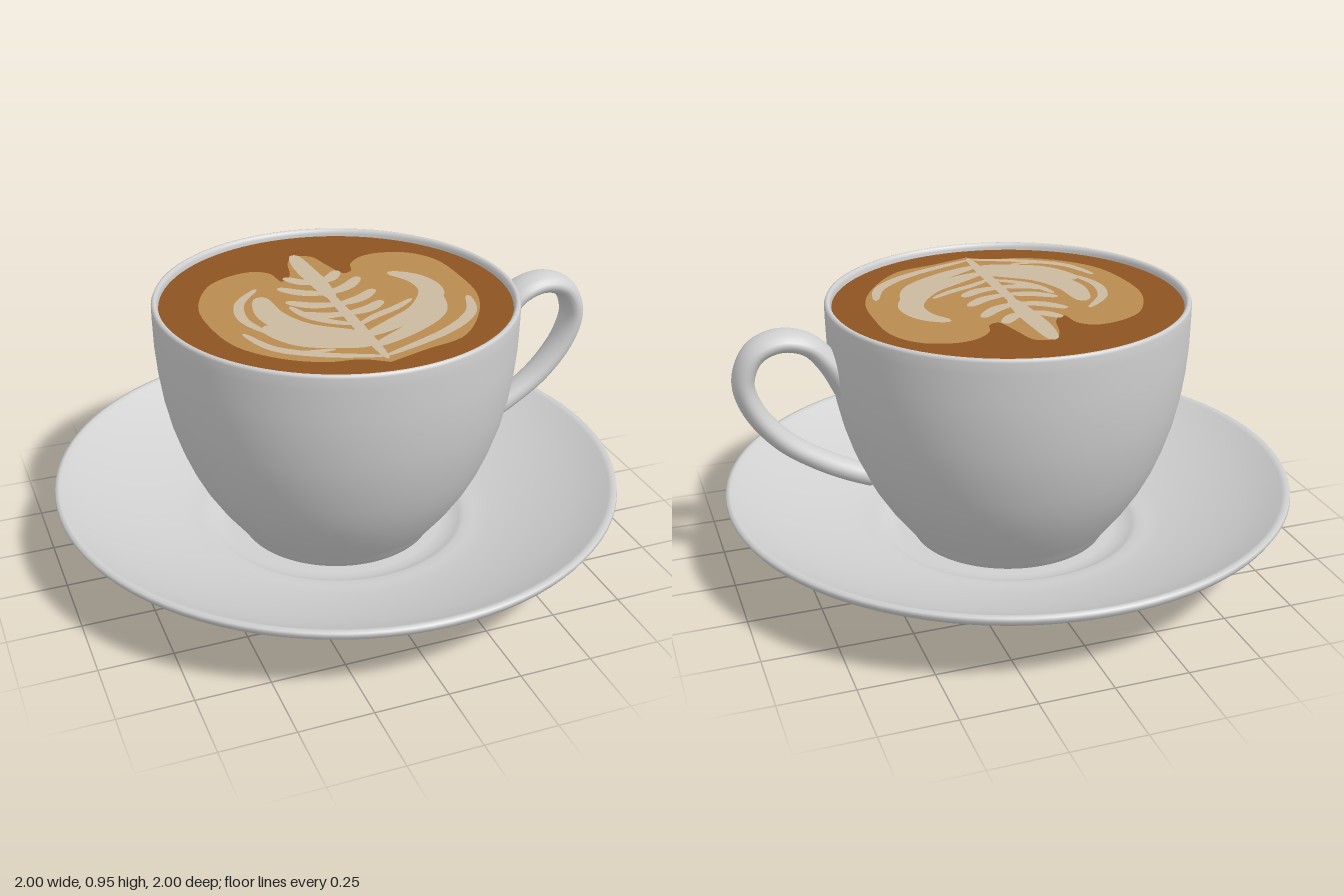
import * as THREE from 'three';

const mat = (name, color, side = THREE.FrontSide) => {
  const m = new THREE.MeshStandardMaterial({ color, side });
  m.name = name;
  return m;
};
const v2 = ([x, y]) => new THREE.Vector2(x, y);

// Solid of revolution with a smoothed profile
function lathe(name, profile, material) {
  const mesh = new THREE.Mesh(new THREE.LatheGeometry(profile.map(v2), 96), material);
  mesh.name = name;
  return mesh;
}

// Flat artwork lying on the coffee; shapes are drawn as (x, -z)
function flat(name, shapes, y, material) {
  const mesh = new THREE.Mesh(new THREE.ShapeGeometry(shapes).rotateX(-Math.PI / 2), material);
  mesh.position.y = y;
  mesh.name = name;
  return mesh;
}

// Tapered brush stroke of half-width w through [x, z] points
function stroke(w, pts) {
  const curve = new THREE.SplineCurve(pts.map(([x, z]) => new THREE.Vector2(x, -z)));
  const a = [], b = [], n = 24;
  for (let i = 0; i <= n; i++) {
    const t = i / n, p = curve.getPoint(t), d = curve.getTangent(t);
    const h = w * Math.max(0.15, Math.pow(Math.sin(Math.PI * t), 0.4));
    a.push(new THREE.Vector2(p.x - d.y * h, p.y + d.x * h));
    b.unshift(new THREE.Vector2(p.x + d.y * h, p.y - d.x * h));
  }
  return new THREE.Shape([...a, ...b]);
}

// Elliptical sections swept along a path in the xy plane
function handleGeometry() {
  const path = new THREE.CatmullRomCurve3([
    [0.57, 0.7], [0.635, 0.79], [0.7, 0.855], [0.79, 0.878], [0.875, 0.845], [0.917, 0.75],
    [0.89, 0.645], [0.8, 0.525], [0.68, 0.435], [0.58, 0.38], [0.5, 0.345],
  ].map(([x, y]) => new THREE.Vector3(x, y, 0)));
  const n = 64, m = 20, pos = [], idx = [];
  for (let i = 0; i <= n; i++) {
    const t = i / n, p = path.getPointAt(t), d = path.getTangentAt(t);
    const flare = Math.pow(Math.max(0, 1 - t / 0.18), 2);
    const thick = 0.037 + 0.02 * flare;
    const wide = 0.074 - 0.03 * t - 0.012 * Math.max(0, 1 - t / 0.2) + 0.02 * flare;
    for (let j = 0; j < m; j++) {
      const a = (j / m) * Math.PI * 2, u = Math.cos(a) * thick;
      pos.push(p.x - d.y * u, p.y + d.x * u, Math.sin(a) * wide);
      if (i < n) {
        const k = i * m + j, l = i * m + (j + 1) % m;
        idx.push(k, k + m, l, l, k + m, l + m);
      }
    }
  }
  const g = new THREE.BufferGeometry();
  g.setAttribute('position', new THREE.Float32BufferAttribute(pos, 3));
  g.setIndex(idx);
  g.computeVertexNormals();
  return g;
}

export function createModel() {
  const group = new THREE.Group();
  const ceramic = mat('white ceramic', 0xd0d0d0);
  const ceramicOpen = mat('white ceramic handle', 0xd0d0d0, THREE.DoubleSide);
  const coffee = mat('brown coffee', 0x8e5321);
  const tan = mat('tan crema', 0xb98b50);
  const foam = mat('milk foam', 0xcab9a0);

  // Saucer: foot ring, sloping underside, rolled rim, shallow well
  group.add(lathe('saucer', [
    [0, 0.008], [0.36, 0.008], [0.37, 0], [0.4, 0], [0.425, 0.012], [0.44, 0.025], [0.48, 0.033], [0.52, 0.05],
    [0.62, 0.08], [0.72, 0.113], [0.82, 0.155], [0.9, 0.197], [0.96, 0.232], [0.99, 0.252],
    [1, 0.268], [0.998, 0.28], [0.985, 0.283], [0.97, 0.277], [0.93, 0.25], [0.85, 0.21],
    [0.75, 0.168], [0.65, 0.135], [0.56, 0.11], [0.5, 0.1], [0.47, 0.1], [0.45, 0.09],
    [0.42, 0.075], [0.38, 0.07], [0, 0.07],
  ], ceramic));

  // Cup: rounded bowl with a thin lip
  group.add(lathe('cup', [
    [0, 0.06], [0.32, 0.06], [0.345, 0.075], [0.36, 0.1], [0.39, 0.14], [0.435, 0.2], [0.485, 0.28],
    [0.52, 0.35], [0.55, 0.425], [0.58, 0.52], [0.6, 0.61], [0.614, 0.71], [0.621, 0.8], [0.623, 0.9],
    [0.623, 0.94], [0.619, 0.949], [0.611, 0.951], [0.604, 0.946], [0.6, 0.935], [0.598, 0.9],
  ], ceramic));

  const handle = new THREE.Mesh(handleGeometry(), ceramicOpen);
  handle.name = 'handle';
  group.add(handle);

  // Coffee surface
  const surface = new THREE.Mesh(new THREE.CircleGeometry(0.602, 96).rotateX(-Math.PI / 2), coffee);
  surface.position.y = 0.925;
  surface.name = 'coffee';
  group.add(surface);

  // Tan crema: two lobes with a spike between them
  const outline = new THREE.SplineCurve([
    [-0.01, 0.51], [-0.09, 0.46], [-0.2, 0.44], [-0.32, 0.37], [-0.42, 0.25], [-0.46, 0.1], [-0.46, -0.08],
    [-0.39, -0.24], [-0.3, -0.31], [-0.2, -0.33], [-0.14, -0.29], [-0.125, -0.21], [-0.08, -0.25],
    [-0.05, -0.36], [-0.01, -0.41], [0.05, -0.39], [0.075, -0.3], [0.1, -0.21], [0.14, -0.22], [0.16, -0.28],
    [0.22, -0.33], [0.3, -0.34], [0.4, -0.3], [0.465, -0.2], [0.48, -0.05], [0.47, 0.12], [0.4, 0.28],
    [0.28, 0.42], [0.13, 0.465], [-0.01, 0.51],
  ].map(([x, z]) => new THREE.Vector2(x, -z)));
  group.add(flat('crema', new THREE.Shape(outline.getPoints(150).slice(0, -1)), 0.929, tan));

  // Milk foam: central leaf stem, nested arcs and side barbs
  const strokes = [
    stroke(0.035, [[-0.01, -0.42], [-0.015, -0.3], [-0.01, -0.15], [-0.01, 0]]),
    stroke(0.02, [[-0.01, -0.1], [-0.01, 0.2], [-0.01, 0.49]]),
    stroke(0.018, [[-0.23, -0.17], [-0.32, -0.07], [-0.345, 0.06], [-0.3, 0.19]]),
    stroke(0.05, [[-0.24, -0.1], [-0.25, 0.06], [-0.18, 0.2], [-0.01, 0.3]]),
    stroke(0.06, [[-0.3, 0.13], [-0.22, 0.25], [-0.12, 0.31], [-0.01, 0.37]]),
    stroke(0.018, [[-0.38, 0.16], [-0.32, 0.3], [-0.18, 0.4], [-0.01, 0.47]]),
    stroke(0.014, [[-0.31, 0.33], [-0.24, 0.36], [-0.14, 0.37]]),
    stroke(0.045, [[0.25, -0.15], [0.32, -0.07], [0.33, 0.05], [0.24, 0.18], [0.12, 0.25], [-0.01, 0.31]]),
    stroke(0.035, [[0.34, 0.07], [0.28, 0.21], [0.15, 0.31], [-0.01, 0.39]]),
    stroke(0.02, [[0.43, 0.13], [0.38, 0.26], [0.24, 0.37], [-0.01, 0.47]]),
    stroke(0.016, [[0.24, 0.09], [0.16, 0.14], [0.07, 0.18], [-0.01, 0.23]]),
    stroke(0.018, [[-0.17, 0.01], [-0.14, 0.1], [-0.08, 0.17], [-0.01, 0.22]]),
  ];
  for (const s of [-1, 1]) {
    [[0.1, -0.23, -0.15], [0.15, -0.15, -0.05], [0.16, -0.03, 0.05], [0.15, 0.07, 0.13]].forEach(([x, z0, z1]) =>
      strokes.push(stroke(0.024, [[-0.01 + s * x, z0], [-0.01 + s * x * 0.55, (z0 + z1) / 2 + 0.015], [-0.01, z1]])));
  }
  group.add(flat('milkFoam', strokes, 0.932, foam));

  return group;
}
